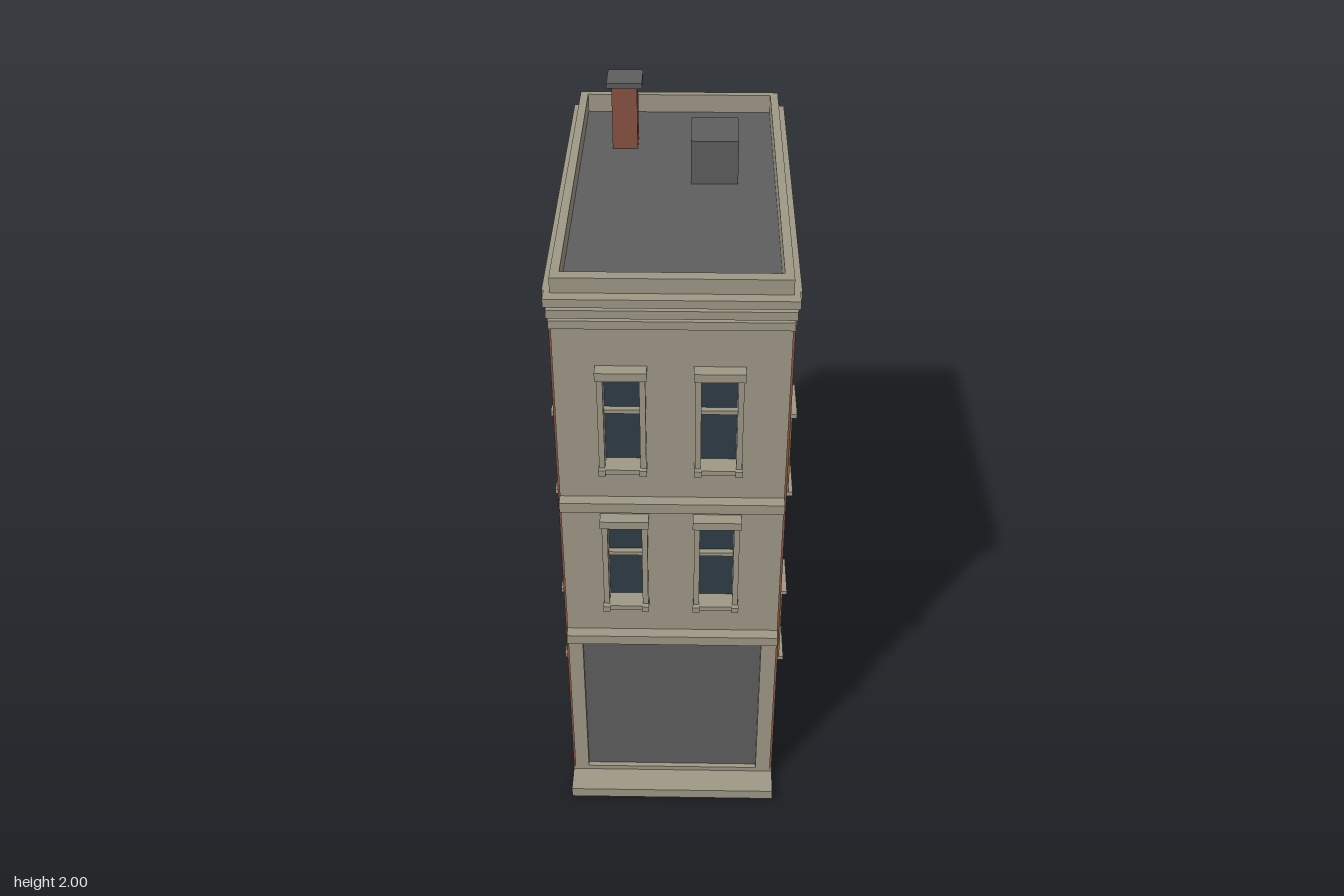
import * as THREE from 'three';

const mat = (name, color) => {
  const m = new THREE.MeshStandardMaterial({ color });
  m.name = name;
  return m;
};

export function createModel() {
  const stone = mat('stone', 0x9e9886);
  const brick = mat('brick', 0x885241);
  const grey = mat('grey', 0x5e5e5e);
  const glass = mat('glass', 0x2e3c47);
  const wood = mat('wood', 0x8a6a40);
  const model = new THREE.Group();
  model.name = 'townhouse';

  const group = (name) => {
    const g = new THREE.Group();
    g.name = name;
    model.add(g);
    return g;
  };
  // Box given by its bounds on each axis
  const box = (name, m, [x0, x1], [y0, y1], [z0, z1], parent = model) => {
    const mesh = new THREE.Mesh(new THREE.BoxGeometry(x1 - x0, y1 - y0, z1 - z0), m);
    mesh.position.set((x0 + x1) / 2, (y0 + y1) / 2, (z0 + z1) / 2);
    mesh.name = name;
    parent.add(mesh);
    return mesh;
  };
  // Rectangular slab with rectangular openings, extruded along +z
  const trace = (path, [u0, u1, v0, v1]) =>
    path.moveTo(u0, v0).lineTo(u1, v0).lineTo(u1, v1).lineTo(u0, v1).closePath();
  const slab = (outer, holes, depth) => {
    const shape = trace(new THREE.Shape(), outer);
    for (const h of holes) shape.holes.push(trace(new THREE.Path(), h));
    return new THREE.ExtrudeGeometry(shape, { depth, bevelEnabled: false });
  };
  const add = (name, geo, m) => {
    const mesh = new THREE.Mesh(geo, m);
    mesh.name = name;
    model.add(mesh);
  };

  // Foundation, step and inner core
  box('foundation', stone, [-0.317, 0.317], [0, 0.045], [-0.622, 0.545]);
  box('frontStep', stone, [-0.317, 0.317], [0, 0.034], [0.545, 0.628]);
  box('core', brick, [-0.295, 0.295], [0.045, 1.78], [-0.607, 0.518]);

  // Front wall with shop opening and four windows
  const frontX = [-0.133, 0.126];
  const frontY = [[0.775, 1.065], [1.27, 1.56]];
  const frontHoles = [[-0.268, 0.265, 0.05, 0.62]];
  for (const x of frontX) for (const [y0, y1] of frontY) frontHoles.push([x - 0.049, x + 0.049, y0, y1]);
  add('frontWall', slab([-0.311, 0.311, 0.045, 1.8], frontHoles, 0.03).translate(0, 0, 0.515), stone);
  box('shopShutter', grey, [-0.268, 0.265], [0.05, 0.62], [0.516, 0.53]);
  for (const y of [0.62, 1.12]) box('frontBand', stone, [-0.311, 0.311], [y, y + 0.032], [0.545, 0.579]);

  for (const x of frontX) for (const [y0, y1] of frontY) {
    const g = group('frontWindow');
    const mid = y0 + 0.165;
    box('pane', glass, [x - 0.049, x + 0.049], [y0, y1], [0.516, 0.523], g);
    box('crossBar', stone, [x - 0.049, x + 0.049], [mid - 0.006, mid + 0.006], [0.52, 0.54], g);
    for (const s of [-1, 1]) {
      const c = x + s * 0.056;
      box('jamb', stone, [c - 0.008, c + 0.008], [y0, y1], [0.525, 0.57], g);
      box('sillBlock', stone, [c - 0.01, c + 0.01], [y0 - 0.018, y0], [0.54, 0.585], g);
    }
    box('lintel', stone, [x - 0.068, x + 0.068], [y1, y1 + 0.025], [0.54, 0.583], g);
    box('sill', stone, [x - 0.064, x + 0.064], [y0 - 0.015, y0], [0.52, 0.58], g);
  }

  // Side walls, each with four wood-framed windows
  const sideZ = [0.21, -0.31];
  const sideY = [[0.29, 0.56], [0.97, 1.24]];
  const sideHoles = [];
  for (const z of sideZ) for (const [y0, y1] of sideY) sideHoles.push([z - 0.064, z + 0.064, y0, y1]);
  for (const s of [-1, 1]) {
    const geo = slab([-0.605, 0.538, 0.045, 1.8], sideHoles, 0.022).rotateY(-Math.PI / 2);
    add('sideWall', geo.translate(s > 0 ? 0.317 : -0.295, 0, 0), brick);
    const span = (a, b) => (s > 0 ? [a, b] : [-b, -a]);
    for (const z of sideZ) for (const [y0, y1] of sideY) {
      const g = group('sideWindow');
      box('pane', glass, span(0.294, 0.3), [y0, y1], [z - 0.064, z + 0.064], g);
      for (const e of [-1, 1]) {
        const c = z + e * 0.067;
        box('jamb', wood, span(0.297, 0.341), [y0, y1], [c - 0.006, c + 0.006], g);
      }
      box('lintel', stone, span(0.297, 0.354), [y1, y1 + 0.014], [z - 0.077, z + 0.077], g);
      box('sill', stone, span(0.297, 0.354), [y0 - 0.014, y0], [z - 0.077, z + 0.077], g);
    }
  }

  // Back wall with two plain windows
  const backHoles = sideY.map(([y0, y1]) => [-0.1, 0.1, y0 - 0.01, y1 + 0.01]);
  add('backWall', slab([-0.317, 0.317, 0.045, 1.785], backHoles, 0.018).translate(0, 0, -0.625), brick);
  for (const [, , y0, y1] of backHoles) box('backPane', glass, [-0.1, 0.1], [y0, y1], [-0.614, -0.606]);

  // Stepped cornice on the front and both sides
  [[1.707, 0.563, 0.32], [1.743, 0.571, 0.324], [1.78, 0.58, 0.329]].forEach(([y, z, x]) => {
    const g = group('cornice');
    box('frontStrip', stone, [-x + 0.005, x - 0.005], [y, y + 0.024], [0.53, z], g);
    for (const s of [-1, 1]) {
      box('sideStrip', stone, s > 0 ? [0.3, x] : [-x, -0.3], [y, y + 0.024], [-0.615, 0.533], g);
    }
  });

  // Parapet ring and flat roof
  const ring = slab([-0.308, 0.308, -0.547, 0.617], [[-0.284, 0.284, -0.514, 0.595]], 0.063);
  add('parapet', ring.rotateX(-Math.PI / 2).translate(0, 1.784, 0), stone);
  box('roof', grey, [-0.295, 0.295], [1.775, 1.79], [-0.605, 0.53]);

  // Rooftop unit and chimney
  box('roofUnit', grey, [0.042, 0.177], [1.78, 1.922], [-0.257, -0.095]);
  box('chimney', brick, [-0.194, -0.119], [1.78, 1.985], [-0.405, -0.325]);
  box('chimneyCap', grey, [-0.208, -0.104], [1.984, 2], [-0.42, -0.315]);

  return model;
}
